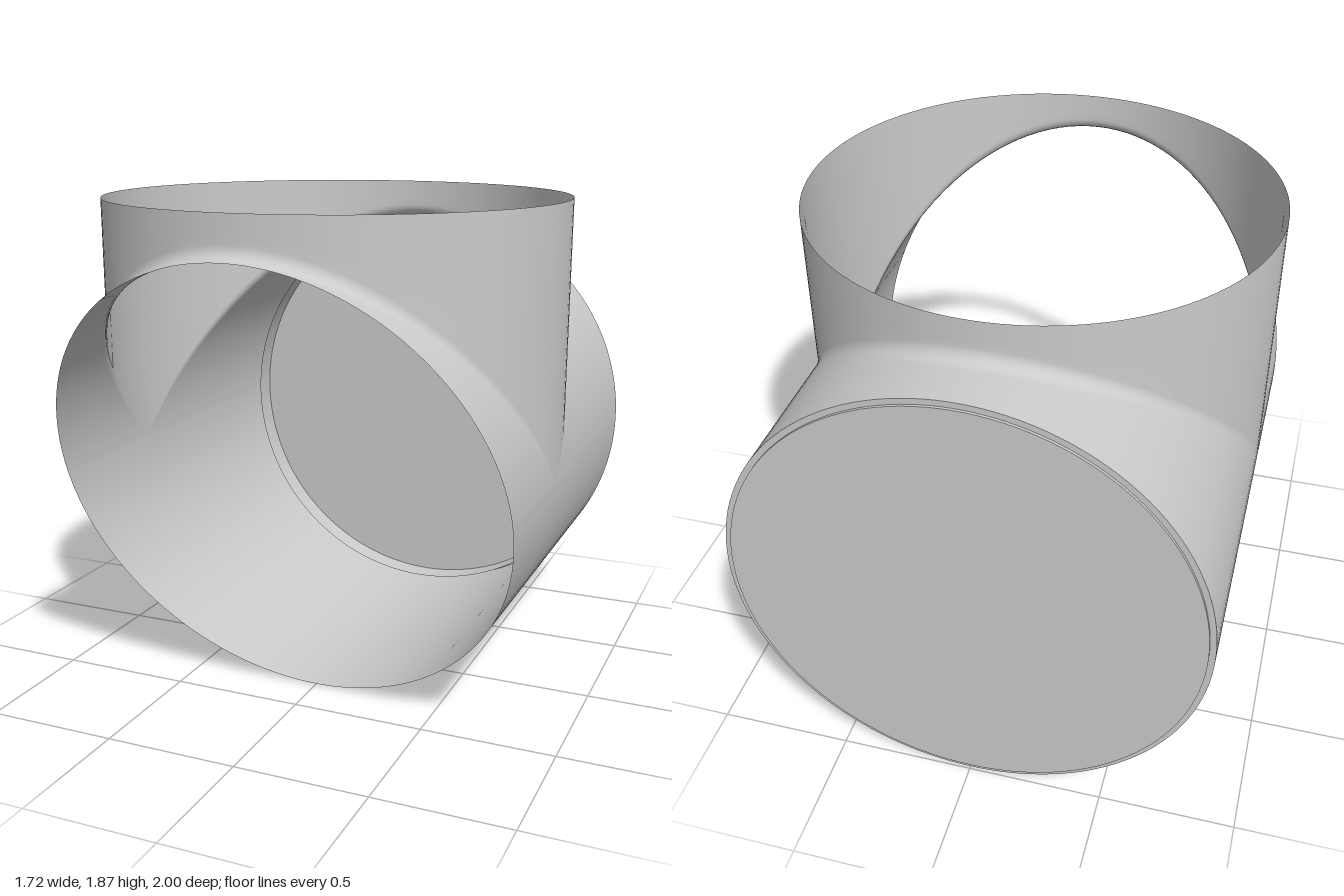
import * as THREE from 'three';
import { mergeGeometries, mergeVertices } from 'three/addons/utils/BufferGeometryUtils.js';

const R = 0.86;        // radius of both pipes
const FILLET = 0.05;   // blend radius where the pipes meet
const YC = 0.86;       // axis height of the lying pipe
const ZC = 0.09;       // axis of the upright pipe
const TOP = 1.87, BACK = -0.99;
const REACH = R + FILLET;

// slanted cut at the front of the lying pipe
const cutZ = (y) => 0.31 + 0.401 * y;

// surface grid over u, v in 0..1; the front faces along dP/du x dP/dv
function grid(f, nu, nv) {
  const pos = [], index = [];
  for (let j = 0; j <= nv; j++)
    for (let i = 0; i <= nu; i++) pos.push(...f(i / nu, j / nv));
  for (let j = 0; j < nv; j++)
    for (let i = 0; i < nu; i++) {
      const a = j * (nu + 1) + i, b = a + 1, c = a + nu + 1, d = c + 1;
      index.push(a, b, d, a, d, c);
    }
  const g = new THREE.BufferGeometry();
  g.setAttribute('position', new THREE.Float32BufferAttribute(pos, 3));
  g.setIndex(index);
  return g;
}

// part of the lying pipe between two z limits, each a function of (sine, y)
function lyingPart(from, to, z0, z1) {
  return grid((u, v) => {
    const a = from + (to - from) * u, s = Math.sin(a), y = YC + R * s;
    return [R * Math.cos(a), y, THREE.MathUtils.lerp(z0(s, y), z1(s, y), v)];
  }, 64, 4);
}

// rolling-ball blend between the pipes, side = 1 front, -1 back
function blend(side) {
  return grid((u, v) => {
    const a = Math.PI * u, c = Math.cos(a), s = Math.max(0, Math.sin(a));
    const toLying = new THREE.Vector3(-c, -s, 0);
    const toUpright = new THREE.Vector3(-c, 0, -side * s);
    const t = side > 0 ? v : 1 - v;
    const angle = toLying.angleTo(toUpright);
    const d = toUpright.clone();
    if (angle > 1e-4) {
      d.multiplyScalar(Math.sin((1 - t) * angle))
        .addScaledVector(toLying, Math.sin(t * angle))
        .divideScalar(Math.sin(angle));
    }
    return [REACH * c + FILLET * d.x, YC + REACH * s + FILLET * d.y,
      ZC + side * REACH * s + FILLET * d.z];
  }, 64, 6);
}

export function createModel() {
  const group = new THREE.Group();
  const material = new THREE.MeshStandardMaterial({ color: 0xcccccc, side: THREE.DoubleSide });
  const add = (name, geometry) => {
    const mesh = new THREE.Mesh(geometry, material);
    mesh.name = name;
    group.add(mesh);
    return mesh;
  };

  // lying pipe, upright pipe and their blends as one smooth thin shell
  const back = () => BACK;
  const cut = (s, y) => cutZ(y);
  const upright = grid((u, v) => {
    const a = 2 * Math.PI * u, s = Math.sin(a);
    return [R * Math.cos(a), THREE.MathUtils.lerp(TOP, YC + REACH * Math.abs(s), v), ZC + R * s];
  }, 128, 4);
  const shell = mergeVertices(mergeGeometries([
    lyingPart(Math.PI, 2 * Math.PI, back, cut),
    lyingPart(0, Math.PI, back, (s) => ZC - REACH * s),
    lyingPart(0, Math.PI, (s) => ZC + REACH * s, cut),
    upright, blend(1), blend(-1),
  ]), 1e-4);
  shell.computeVertexNormals();
  add('pipeShell', shell);

  // narrow end face of the lying pipe
  const rim = add('backRim', new THREE.RingGeometry(0.838, R, 128));
  rim.position.set(0, YC, BACK);
  rim.rotation.y = Math.PI;

  // closing plug: lip inside the pipe and a flat disc just behind it
  const lip = add('plugLip', new THREE.CylinderGeometry(0.838, 0.838, 0.1, 128, 1, true));
  lip.position.set(0, YC, -0.95);
  lip.rotation.x = Math.PI / 2;
  const disc = add('plugDisc', new THREE.CircleGeometry(0.838, 128));
  disc.position.set(0, YC, -1);
  disc.rotation.y = Math.PI;

  return group;
}
